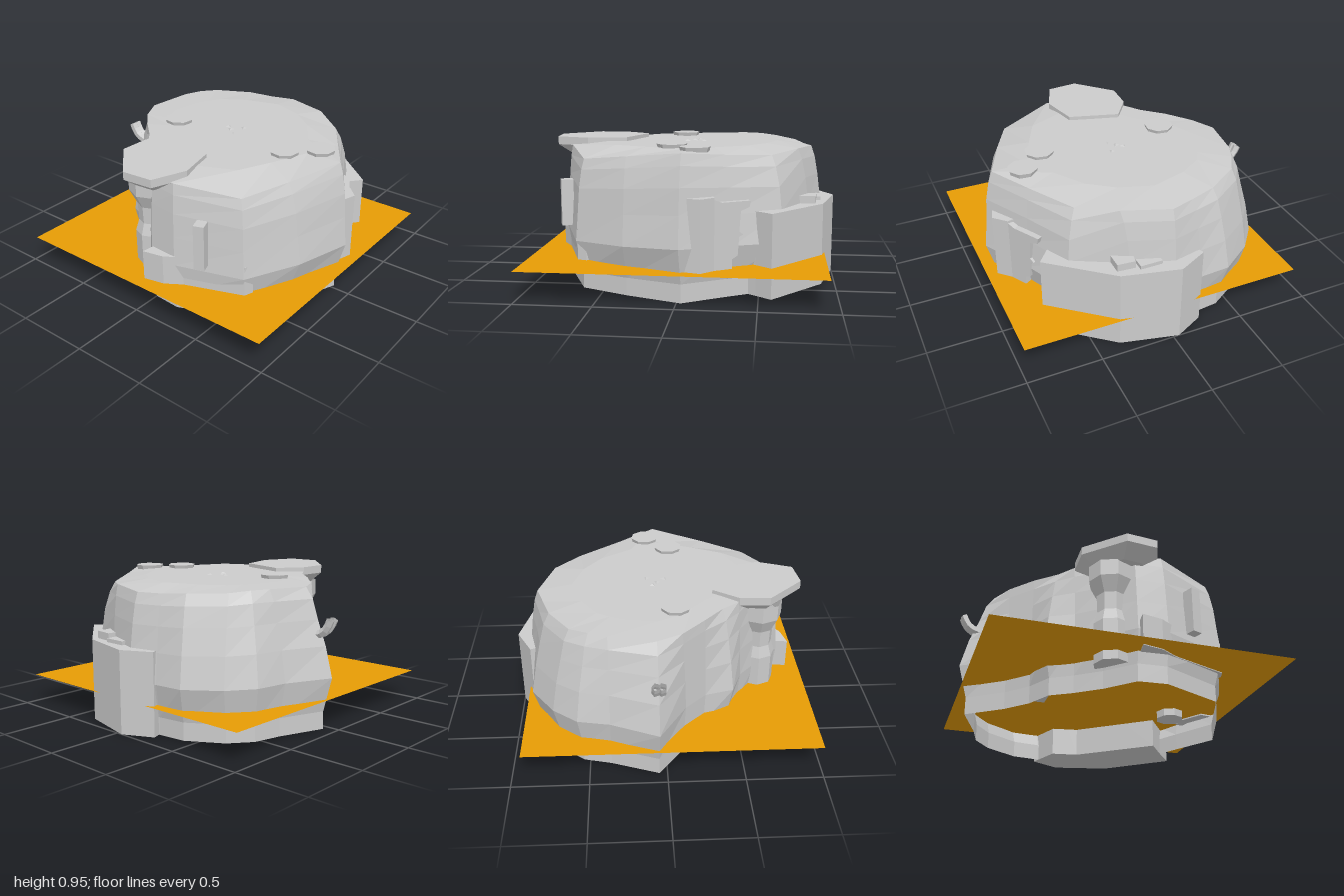
import * as THREE from 'three';

const grey = new THREE.MeshStandardMaterial({ color: 0xcccccc, flatShading: true, side: THREE.DoubleSide });
const ochre = new THREE.MeshStandardMaterial({ color: 0xe69c05, side: THREE.DoubleSide });

// Each row: widest x, z; rim x, z; rim height
const OUTLINE = [
  [0.05, -0.97, 0.06, -0.76, 0.91], [0.36, -0.84, 0.36, -0.71, 0.92], [0.57, -0.8, 0.48, -0.66, 0.92],
  [0.73, -0.67, 0.6, -0.59, 0.91], [0.88, -0.45, 0.74, -0.37, 0.9], [0.89, -0.25, 0.79, -0.2, 0.89],
  [0.93, -0.04, 0.84, -0.04, 0.89], [0.84, 0.22, 0.74, 0.27, 0.9], [0.66, 0.6, 0.57, 0.5, 0.88],
  [0.34, 0.75, 0.28, 0.69, 0.9], [0.02, 0.94, 0.03, 0.855, 0.925], [-0.34, 0.82, -0.33, 0.71, 0.885],
  [-0.68, 0.63, -0.63, 0.57, 0.85], [-0.84, 0.2, -0.8, 0.18, 0.9], [-0.83, 0, -0.78, 0, 0.91],
  [-0.66, -0.18, -0.6, -0.15, 0.92], [-0.53, -0.32, -0.49, -0.32, 0.92], [-0.46, -0.5, -0.38, -0.4, 0.92],
  [-0.27, -0.55, -0.25, -0.54, 0.92], [-0.13, -0.68, -0.1, -0.68, 0.91],
];
// Each ring: fraction of the rim height, then bulge towards the widest outline at the back and at the front
const RINGS = [[0, 0.72, 0.2], [0.13, 0.72, 0.2], [0.38, 1, 1], [0.6, 0.75, 0.75], [0.78, 0.45, 0.6], [0.92, 0.25, 0.3], [1, 0, 0]];

function rockBody() {
  const pos = [], index = [], n = OUTLINE.length;
  for (const [h, back, front] of RINGS) {
    for (const [x, z, rx, rz, top] of OUTLINE) {
      const k = THREE.MathUtils.lerp(back, front, (z + 0.97) / 1.91);
      pos.push(rx + (x - rx) * k, top * h, rz + (z - rz) * k);
    }
  }
  // inner ring and centre of the plateau
  for (const [, , rx, rz] of OUTLINE) pos.push(rx * 0.72, 0.925, rz * 0.72);
  pos.push(0, 0.92, 0);
  const rows = RINGS.length;
  for (let r = 0; r < rows; r++) {
    for (let i = 0; i < n; i++) {
      const j = (i + 1) % n, a = r * n + i, b = r * n + j;
      index.push(a, a + n, b, b, a + n, b + n);
    }
  }
  for (let i = 0; i < n; i++) index.push(rows * n + i, (rows + 1) * n, rows * n + (i + 1) % n);
  const g = new THREE.BufferGeometry();
  g.setAttribute('position', new THREE.Float32BufferAttribute(pos, 3));
  g.setIndex(index);
  g.computeVertexNormals();
  return g;
}

// Upright prism over a plan given as [x, z] corners
function prism(plan, y0, y1) {
  const shape = new THREE.Shape(plan.map(([x, z]) => new THREE.Vector2(x, -z)));
  const g = new THREE.ExtrudeGeometry(shape, { depth: y1 - y0, bevelEnabled: false });
  return g.rotateX(-Math.PI / 2).translate(0, y0, 0);
}

export function createModel() {
  const model = new THREE.Group();
  const add = (name, geometry, material = grey) => {
    const mesh = new THREE.Mesh(geometry, material);
    mesh.name = name;
    model.add(mesh);
    return mesh;
  };

  add('rockBody', rockBody());

  // Flat sheet cutting through the rock
  add('groundSheet', new THREE.PlaneGeometry(1.93, 1.93).rotateX(-Math.PI / 2).translate(-0.035, 0.2, 0.015), ochre);

  // Curved outcrop wrapped around the left side, with stones on its top
  add('sideOutcrop', prism([[0.48, 0.66], [0.58, 0.74], [0.91, 0.34], [1, -0.04], [0.9, -0.24],
    [0.67, -0.15], [0.64, 0.03], [0.27, 0.51]], 0, 0.545));
  add('outcropStoneLarge', prism([[0.77, 0.05], [0.9, 0.05], [0.9, 0.2], [0.77, 0.2]], 0.5, 0.57));
  add('outcropStoneSmall', prism([[0.74, 0.2], [0.87, 0.22], [0.86, 0.34], [0.74, 0.34]], 0.5, 0.595));

  // Front buttress with a ragged neighbour
  add('frontButtress', prism([[0.04, 0.8], [0.05, 0.88], [0.15, 0.91], [0.23, 0.83], [0.2, 0.7]], 0.19, 0.655));
  const ragged = new THREE.Shape([[0, 0.65], [0.08, 0.62], [0.28, 0.62], [0.27, 0.58], [0.21, 0.56], [0.2, 0.43],
    [0.23, 0.41], [0.2, 0.4], [0.19, 0.28], [0.15, 0.26], [0.15, 0.2], [0.1, 0.18], [0, 0.2]]
    .map(([x, y]) => new THREE.Vector2(x, y)));
  const raggedStone = add('raggedStone', new THREE.ExtrudeGeometry(ragged, { depth: 0.12, bevelEnabled: false }));
  raggedStone.position.set(0.145, 0, 0.74);
  raggedStone.rotation.y = 0.53;

  // Thin pilaster and low half-buried block on the right side
  const pilaster = add('pilaster', new THREE.BoxGeometry(0.08, 0.31, 0.07));
  pilaster.position.set(-0.795, 0.535, 0.385);
  pilaster.rotation.y = 0.35;
  add('lowBlock', prism([[-0.91, 0], [-0.88, 0.14], [-0.81, 0.25], [-0.67, 0.63], [-0.61, 0.65],
    [-0.44, 0.53], [-0.78, 0.02]], 0.195, 0.405));

  // Overhanging cap on a flared column
  const cap = [[-0.94, -0.1], [-0.7, -0.33], [-0.5, -0.32], [-0.33, -0.2], [-0.43, 0.14], [-0.69, 0.2], [-0.92, 0.11]];
  add('overhangCap', prism(cap, 0.895, 0.95));
  const under = prism(cap, 0.82, 0.895);
  const p = under.attributes.position;
  for (let i = 0; i < p.count; i++) {
    if (p.getY(i) < 0.85) p.setXYZ(i, -0.68 + (p.getX(i) + 0.68) * 0.62, 0.82, -0.08 + (p.getZ(i) + 0.08) * 0.62);
  }
  add('capUnderside', under);
  const column = [[0, 0.14], [0.12, 0.14], [0.12, 0.42], [0.095, 0.5], [0.1, 0.62], [0.15, 0.72], [0.15, 0.83]];
  add('capColumn', new THREE.LatheGeometry(column.map(([r, y]) => new THREE.Vector2(r, y)), 8)
    .translate(-0.67, 0, -0.12));

  // Round heads breaking the plateau, one matched by a buried foot
  for (const [x, z] of [[-0.075, -0.395], [-0.07, 0.495], [0.095, 0.665]]) {
    add('pillarHead', new THREE.CylinderGeometry(0.1, 0.085, 0.05, 8).rotateY(0.25).translate(x, 0.922, z));
  }
  add('buriedFoot', new THREE.CylinderGeometry(0.095, 0.095, 0.05, 8).translate(-0.08, 0.1, 0.5));

  // Stone showing beneath the sheet
  add('buriedStone', prism([[0.15, -0.35], [0.15, -0.54], [-0.11, -0.6], [-0.14, -0.35]], 0.19, 0.3));

  // Small chips lying on the plateau
  for (const [x, z] of [[0.06, -0.06], [-0.02, 0.03], [0.1, 0.04], [0.03, -0.02]]) {
    add('chip', new THREE.ConeGeometry(0.025, 0.012, 3).rotateY(x * 30).translate(x, 0.926, z));
  }

  // Curled horns on the back
  for (const x of [0.035, 0.075]) {
    const curve = new THREE.CatmullRomCurve3([[x, 0.61, -0.82], [x, 0.625, -0.89], [x, 0.66, -0.935], [x, 0.72, -0.965]]
      .map((v) => new THREE.Vector3(...v)));
    add('backHorn', new THREE.TubeGeometry(curve, 5, 0.027, 5));
  }
  return model;
}
